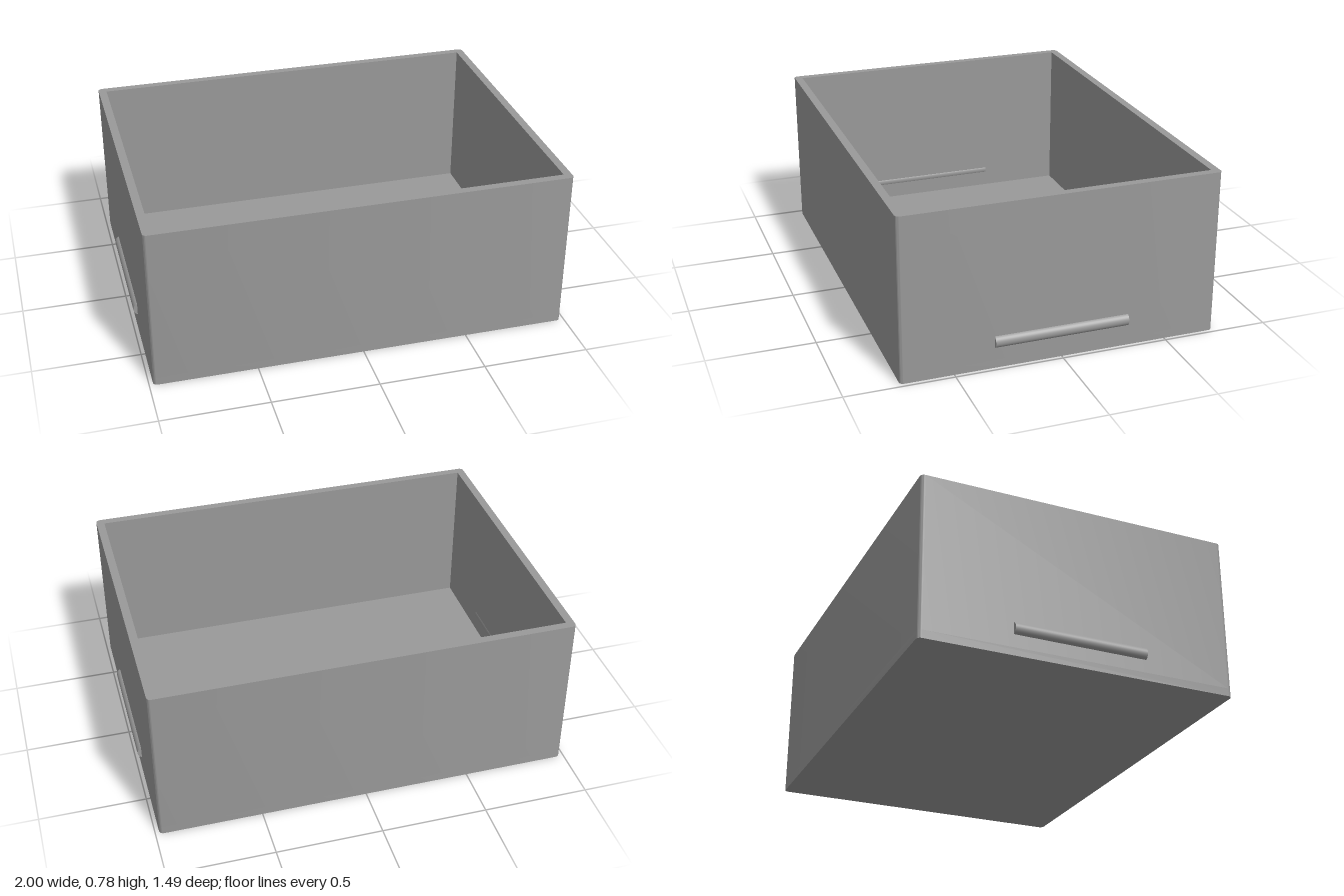
import * as THREE from 'three';
import { toCreasedNormals } from 'three/addons/utils/BufferGeometryUtils.js';

const HALF_X = 0.981, HALF_Z = 0.745, HEIGHT = 0.78, WALL = 0.038, CORNER = 0.02;

// Rectangle with rounded corners, centred on the origin
function roundedRect(hx, hy, r) {
  const s = new THREE.Shape();
  s.moveTo(hx, -hy + r);
  s.absarc(hx - r, hy - r, r, 0, Math.PI / 2);
  s.absarc(-hx + r, hy - r, r, Math.PI / 2, Math.PI);
  s.absarc(-hx + r, -hy + r, r, Math.PI, Math.PI * 1.5);
  s.absarc(hx - r, -hy + r, r, Math.PI * 1.5, Math.PI * 2);
  return s;
}

// Extrude a plan shape upwards from y0 to y1
function extrudeUp(shape, y0, y1) {
  const g = new THREE.ExtrudeGeometry(shape, { depth: y1 - y0, bevelEnabled: false, curveSegments: 8 });
  g.rotateX(-Math.PI / 2);
  g.translate(0, y0, 0);
  return toCreasedNormals(g, Math.PI / 6);
}

export function createModel() {
  const group = new THREE.Group();
  group.name = 'openBox';
  const grey = new THREE.MeshStandardMaterial({ color: 0x999999 });
  grey.name = 'grey';

  const add = (name, geometry) => {
    const mesh = new THREE.Mesh(geometry, grey);
    mesh.name = name;
    group.add(mesh);
    return mesh;
  };

  // Four walls: rounded outside corners, square inside corners
  const ring = roundedRect(HALF_X, HALF_Z, CORNER);
  const ix = HALF_X - WALL, iz = HALF_Z - WALL;
  ring.holes.push(new THREE.Path([
    new THREE.Vector2(-ix, -iz), new THREE.Vector2(-ix, iz),
    new THREE.Vector2(ix, iz), new THREE.Vector2(ix, -iz),
  ]));
  add('walls', extrudeUp(ring, WALL, HEIGHT));

  // Floor slab
  add('floor', extrudeUp(roundedRect(HALF_X, HALF_Z, CORNER), 0, WALL));

  // Round grip bars sunk into the end walls
  for (const [name, side] of [['leftBar', 1], ['rightBar', -1]]) {
    const bar = add(name, new THREE.CylinderGeometry(0.03, 0.03, 0.63, 32).rotateX(Math.PI / 2));
    bar.position.set(side * 0.97, 0.127, 0);
  }
  return group;
}
